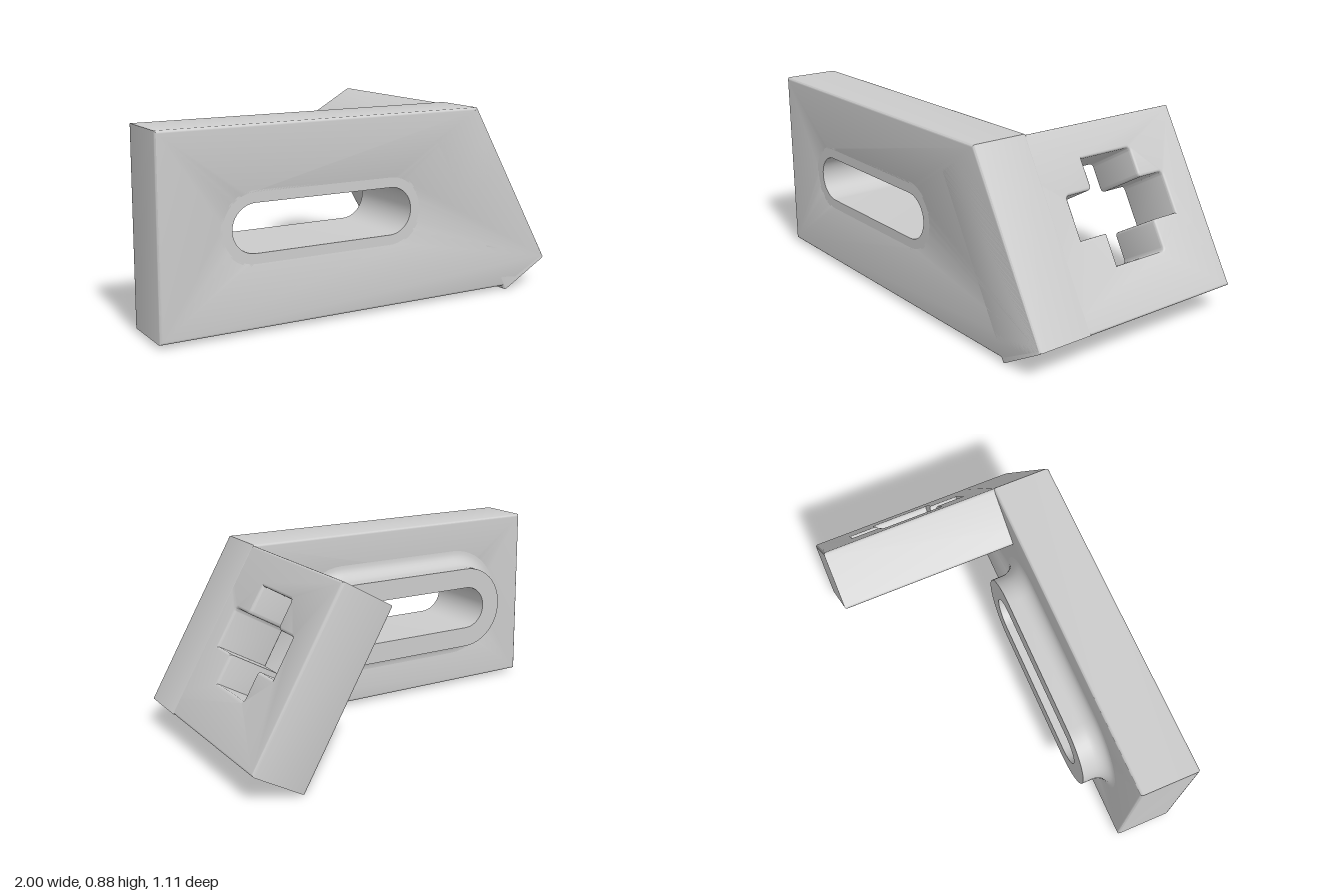
import * as THREE from 'three';
import { toCreasedNormals } from 'three/addons/utils/BufferGeometryUtils.js';

const BEVEL = 0.012;
const HALF_DEPTH = 0.557;   // z extent of the whole bracket
const PLATE_BACK = 0.28;    // rear face of the front plate
const SLOT = { x: -0.235, y: 0.457, half: 0.333, r: 0.107 };
const material = new THREE.MeshStandardMaterial({ color: 0xcccccc, roughness: 0.6 });

function addMesh(parent, name, geometry) {
  const mesh = new THREE.Mesh(toCreasedNormals(geometry, 0.6), material);
  mesh.name = name;
  parent.add(mesh);
  return mesh;
}

// Points around a slot outline, counter-clockwise
function slotPoints(r, steps = 24) {
  const points = [];
  for (const side of [1, -1]) {
    for (let i = 0; i <= steps; i++) {
      const a = -Math.PI / 2 + (Math.PI * i) / steps + (side < 0 ? Math.PI : 0);
      points.push(new THREE.Vector2(SLOT.x + side * SLOT.half + r * Math.cos(a), SLOT.y + r * Math.sin(a)));
    }
  }
  return points;
}

// Closed outline from [x, y, rounded?] corners
function outline(corners, radius, path) {
  const n = corners.length;
  const pts = corners.map(([x, y]) => new THREE.Vector2(x, y));
  const toward = (a, b) => b.clone().sub(a).setLength(radius).add(a);
  corners.forEach((corner, i) => {
    const p = pts[i];
    const start = corner[2] ? toward(p, pts[(i + n - 1) % n]) : p;
    if (i === 0) path.moveTo(start.x, start.y);
    else path.lineTo(start.x, start.y);
    if (corner[2]) {
      const end = toward(p, pts[(i + 1) % n]);
      path.quadraticCurveTo(p.x, p.y, end.x, end.y);
    }
  });
  path.closePath();
  return path;
}

// Extrusion from z = 0 to z = depth, with softened edges inside the outline
function softExtrude(shape, depth) {
  const geometry = new THREE.ExtrudeGeometry(shape, {
    depth: depth - 2 * BEVEL, bevelThickness: BEVEL, bevelSize: BEVEL,
    bevelOffset: -BEVEL, bevelSegments: 3, curveSegments: 6,
  });
  return geometry.translate(0, 0, BEVEL);
}

// Skin swept around the slot from [radius, z] profile points
function slotLoft(profile) {
  const rings = profile.map(([r, z]) => slotPoints(r).map((p) => [p.x, p.y, z]));
  const positions = [];
  for (let i = 0; i < rings.length - 1; i++) {
    const n = rings[i].length;
    for (let j = 0; j < n; j++) {
      const k = (j + 1) % n;
      const [a, b, c, d] = [rings[i][j], rings[i][k], rings[i + 1][j], rings[i + 1][k]];
      positions.push(...a, ...b, ...c, ...b, ...d, ...c);
    }
  }
  const geometry = new THREE.BufferGeometry();
  geometry.setAttribute('position', new THREE.Float32BufferAttribute(positions, 3));
  return geometry;
}

export function createModel() {
  const model = new THREE.Group();
  model.name = 'angledBracket';

  // Front plate, its sloping end flush with the tilted flange
  const plate = outline([[-1, 0.022], [0.78, 0.022], [1, 0.1375], [0.5675, 0.889], [-1, 0.889]], 0, new THREE.Shape());
  plate.holes.push(new THREE.Path(slotPoints(0.14).reverse()));
  addMesh(model, 'frontPlate', softExtrude(plate, HALF_DEPTH - PLATE_BACK)).position.z = PLATE_BACK;

  // Slot lining and the raised boss behind it, with a concave fillet at its foot
  const bossR = 0.207, fillet = 0.07;
  const profile = [[0.16, HALF_DEPTH], [SLOT.r, HALF_DEPTH], [SLOT.r, 0.155], [bossR, 0.155]];
  for (let i = 0; i <= 8; i++) {
    const a = (i / 8) * (Math.PI / 2);
    profile.push([bossR + fillet * (1 - Math.cos(a)), PLATE_BACK - fillet * (1 - Math.sin(a))]);
  }
  addMesh(model, 'slotBoss', slotLoft(profile));

  // Flange tilted 30 degrees: shape x runs to the rear, y up the slope, z outward
  const thickness = 0.275, length = 0.865;
  const flange = outline(
    [[-HALF_DEPTH, 0], [HALF_DEPTH, 0], [HALF_DEPTH, length], [-HALF_DEPTH, length]], 0, new THREE.Shape());
  // Cross-shaped opening, some corners rounded
  const cross = [
    [-0.035, 0.234], [-0.035, 0.378], [-0.178, 0.378], [-0.178, 0.574, true],
    [-0.035, 0.574, true], [-0.035, 0.713], [0.245, 0.713, true], [0.245, 0.574, true],
    [0.385, 0.574, true], [0.385, 0.378], [0.245, 0.378, true], [0.245, 0.234, true],
  ];
  flange.holes.push(outline(cross, 0.018, new THREE.Path()));
  const tilt = Math.PI / 6;
  const outward = new THREE.Vector3(Math.cos(tilt), Math.sin(tilt), 0);
  const upSlope = new THREE.Vector3(-Math.sin(tilt), Math.cos(tilt), 0);
  const flangeMesh = addMesh(model, 'tiltedFlange', softExtrude(flange, thickness));
  flangeMesh.quaternion.setFromRotationMatrix(
    new THREE.Matrix4().makeBasis(new THREE.Vector3(0, 0, -1), upSlope, outward));
  flangeMesh.position.set(1, 0.1375, 0).addScaledVector(outward, -thickness);

  return model;
}
